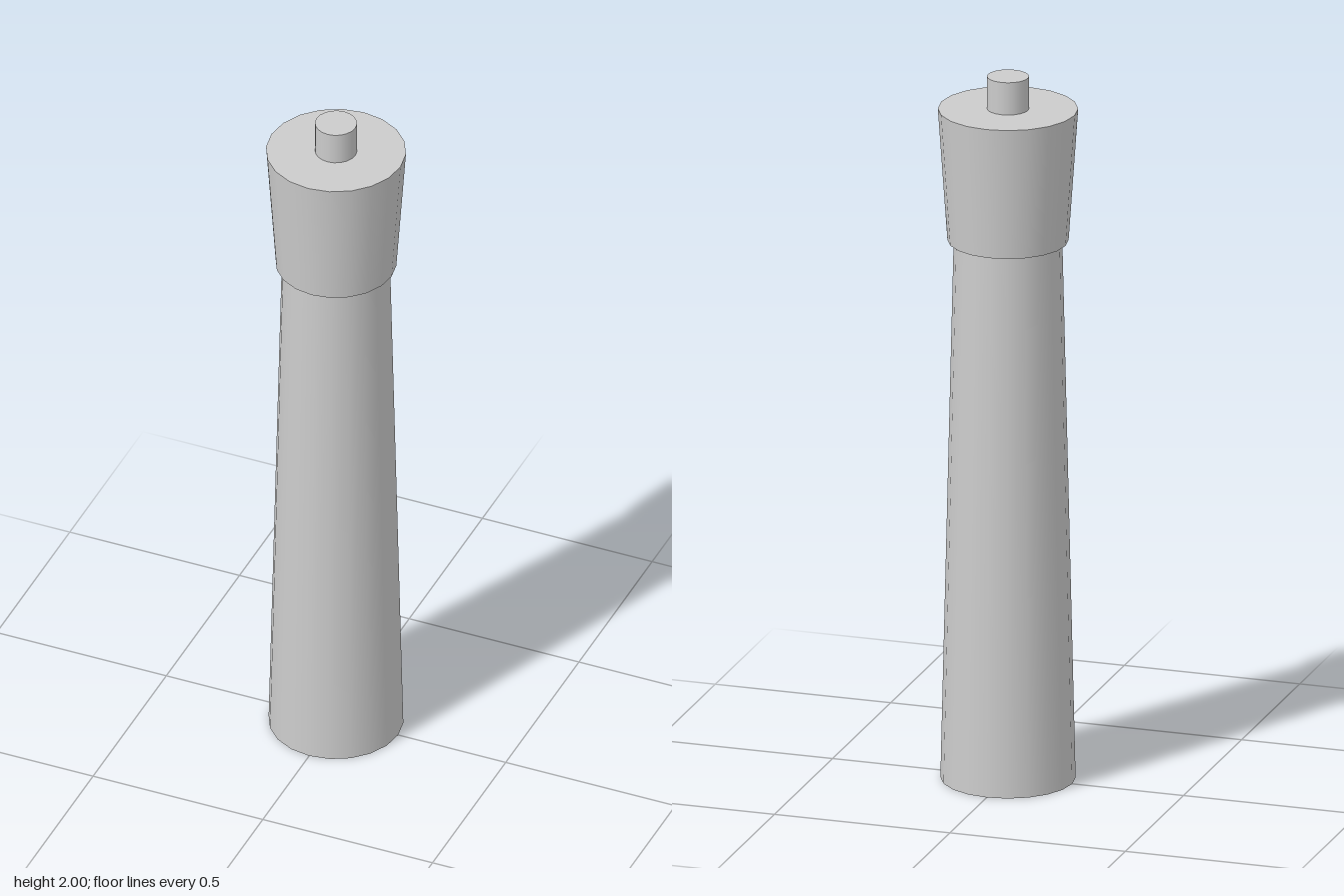
import * as THREE from 'three';

const SIDES = 20;

export function createModel() {
  const model = new THREE.Group();
  const material = new THREE.MeshStandardMaterial({ color: 0xcccccc });

  // Upright round section between two heights, with smooth sides and flat caps
  const addSection = (name, bottomRadius, topRadius, bottom, top) => {
    const geometry = new THREE.CylinderGeometry(topRadius, bottomRadius, top - bottom, SIDES);
    const mesh = new THREE.Mesh(geometry, material);
    mesh.name = name;
    mesh.position.y = (bottom + top) / 2;
    model.add(mesh);
  };

  // Long handle, narrowing upwards
  addSection('handle', 0.183, 0.147, 0, 1.535);
  // Flared collar, overhanging the handle
  addSection('collar', 0.164, 0.19, 1.533, 1.908);
  // Small pin on top
  addSection('pin', 0.057, 0.057, 1.908, 2);

  return model;
}
